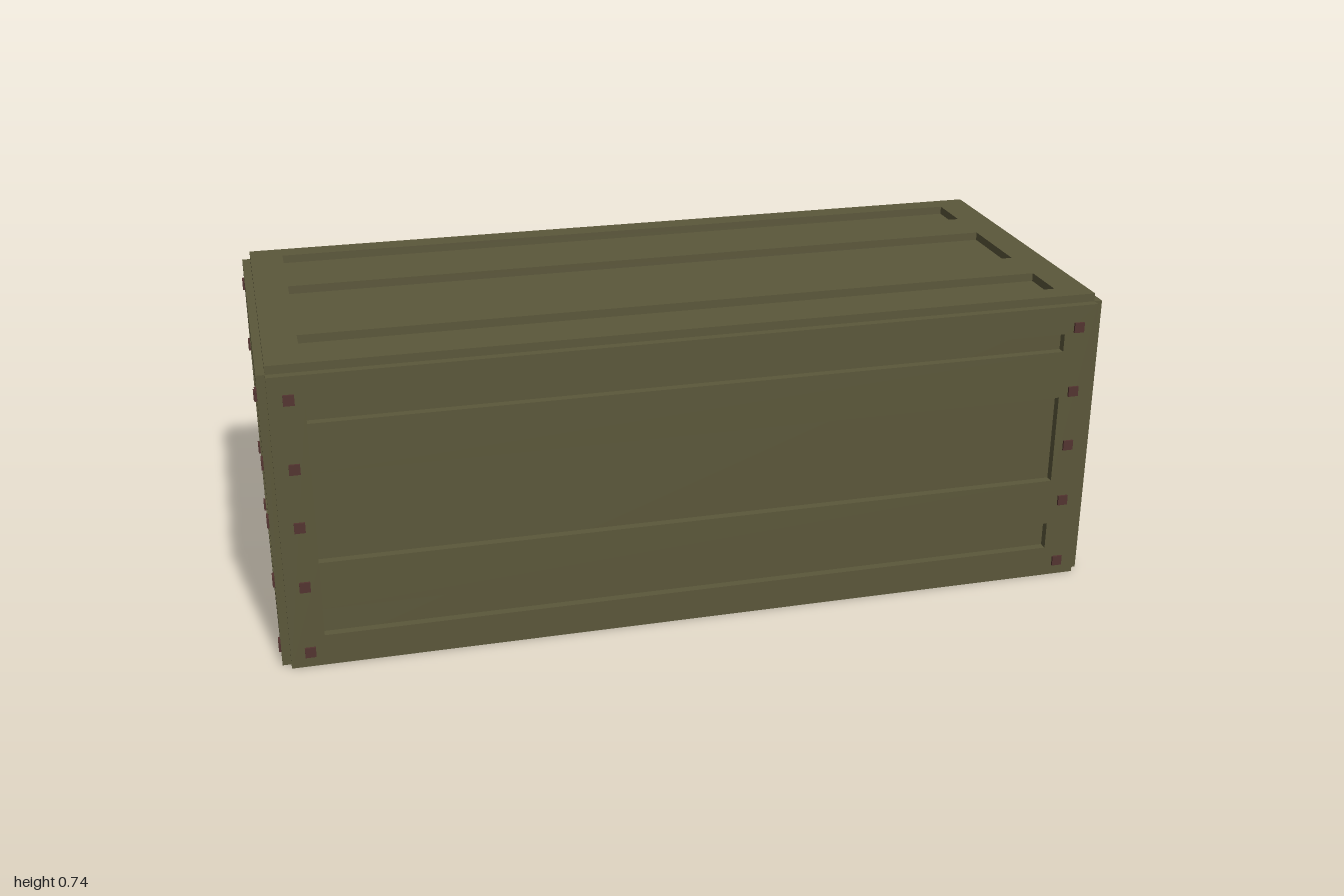
import * as THREE from 'three';

const X = 0.975, Z = 0.41, H = 0.72, T = 0.02;
const rivetRows = [0.038, 0.207, 0.357, 0.5, 0.665];

// Flat board in local XY with rectangular openings, extruded outwards along +z
function boardGeometry(halfWidth, y0, y1, openHalfWidth, openings) {
  const rect = (C, w, a, b) => new C([
    new THREE.Vector2(-w, a), new THREE.Vector2(w, a),
    new THREE.Vector2(w, b), new THREE.Vector2(-w, b),
  ]);
  const shape = rect(THREE.Shape, halfWidth, y0, y1);
  for (const [a, b] of openings) shape.holes.push(rect(THREE.Path, openHalfWidth, a, b));
  return new THREE.ExtrudeGeometry(shape, { depth: T, bevelEnabled: false });
}

export function createModel() {
  const olive = new THREE.MeshStandardMaterial({ color: 0x5b573a });
  olive.name = 'olive paint';
  const rust = new THREE.MeshStandardMaterial({ color: 0x533430 });
  rust.name = 'rusty iron';

  const crate = new THREE.Group();
  crate.name = 'crate';

  const add = (parent, name, geometry, material, x = 0, y = 0, z = 0) => {
    const mesh = new THREE.Mesh(geometry, material);
    mesh.name = name;
    mesh.position.set(x, y, z);
    parent.add(mesh);
    return mesh;
  };

  // Inner body seen at the bottom of the recesses
  add(crate, 'body', new THREE.BoxGeometry(2 * X, H, 2 * Z), olive, 0, H / 2, 0);

  // Lid board with three long recesses
  const lid = boardGeometry(X, -Z, Z, 0.895, [[-0.355, -0.235], [-0.11, 0.11], [0.235, 0.355]]);
  add(crate, 'lid', lid, olive, 0, H, 0).rotation.x = -Math.PI / 2;

  const rivet = new THREE.BoxGeometry(0.025, 0.025, 0.01);
  const addRivets = (side, x) => {
    for (const y of rivetRows)
      for (const s of [-1, 1]) add(side, 'rivet', rivet, rust, s * x, y, T);
  };

  // Long front and back sides: flush planks with recesses between them
  const longBoard = boardGeometry(X, 0, H, 0.895, [[0.077, 0.145], [0.263, 0.486], [0.605, 0.65]]);
  for (const [name, s] of [['frontSide', 1], ['backSide', -1]]) {
    const side = new THREE.Group();
    side.name = name;
    side.position.z = s * Z;
    side.rotation.y = s > 0 ? 0 : Math.PI;
    add(side, 'longBoard', longBoard, olive);
    addRivets(side, 0.93);
    crate.add(side);
  }

  // Short ends: a frame around two slightly lower planks
  const endFrame = boardGeometry(Z, 0, H, 0.352, [[0.075, 0.65]]);
  for (const [name, s] of [['leftEnd', 1], ['rightEnd', -1]]) {
    const end = new THREE.Group();
    end.name = name;
    end.position.x = s * X;
    end.rotation.y = s * Math.PI / 2;
    add(end, 'endFrame', endFrame, olive);
    for (const [a, b] of [[0.143, 0.263], [0.485, 0.605]])
      add(end, 'endPlank', new THREE.BoxGeometry(0.704, b - a, 0.016), olive, 0, (a + b) / 2, 0.008);
    addRivets(end, 0.379);
    crate.add(end);
  }

  return crate;
}
